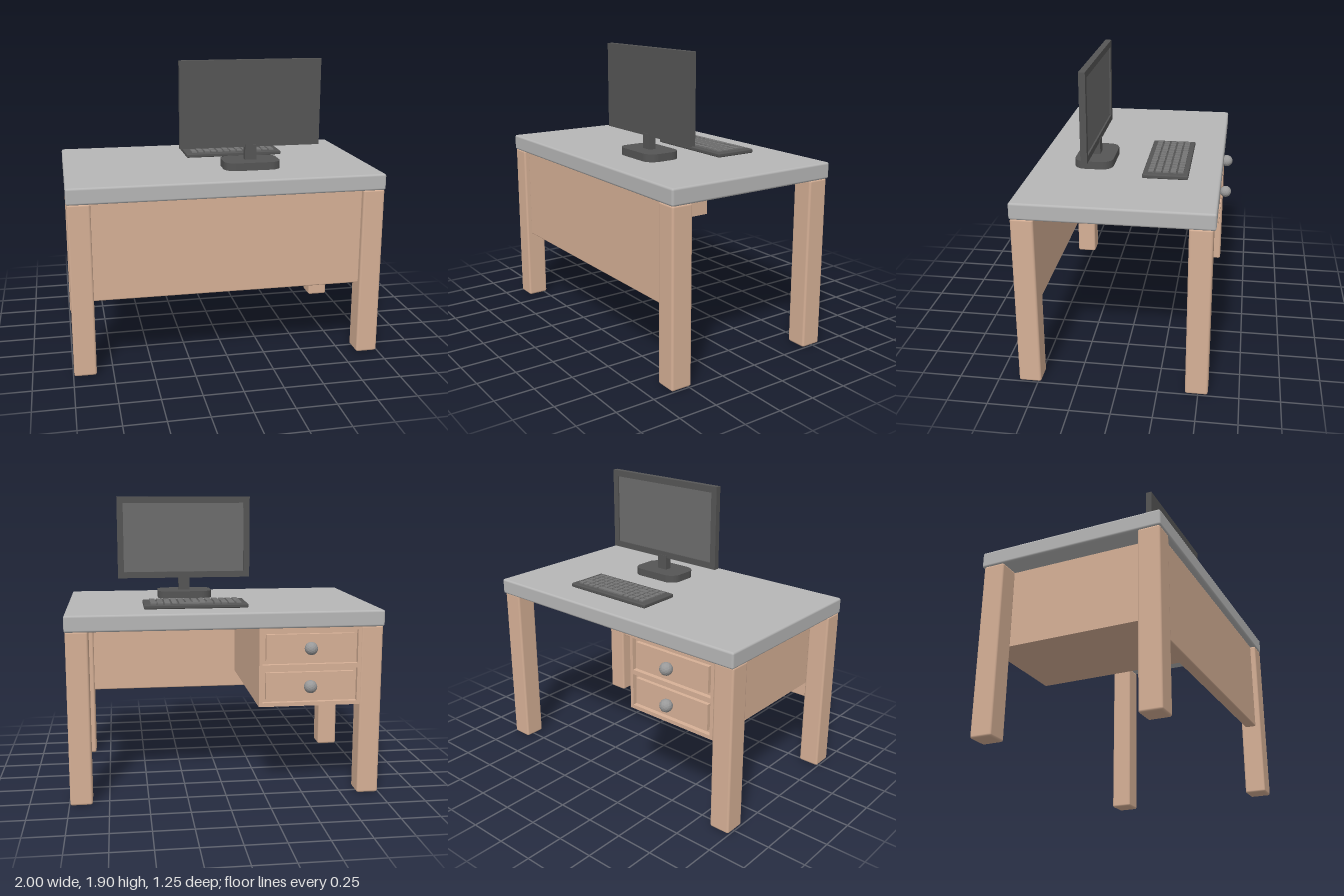
import * as THREE from 'three';
import { RoundedBoxGeometry } from 'three/addons/geometries/RoundedBoxGeometry.js';

const mat = (color, flat = false) => new THREE.MeshStandardMaterial({ color, flatShading: flat });
const wood = mat(0xd6b096), stone = mat(0xb6b6b6), dark = mat(0x555555);
const glass = mat(0x6c6c6c), keyGrey = mat(0x757575), metal = mat(0x999999, true);

function add(parent, name, geometry, material) {
  const mesh = new THREE.Mesh(geometry, material);
  mesh.name = name;
  parent.add(mesh);
  return mesh;
}

// Box given by its minimum and maximum on each axis, with optional rounded edges
function block(parent, name, material, [x0, x1], [y0, y1], [z0, z1], r = 0) {
  const size = [x1 - x0, y1 - y0, z1 - z0];
  const geometry = r ? new RoundedBoxGeometry(...size, 2, r) : new THREE.BoxGeometry(...size);
  const mesh = add(parent, name, geometry, material);
  mesh.position.set((x0 + x1) / 2, (y0 + y1) / 2, (z0 + z1) / 2);
  return mesh;
}

function rectPath(Type, x0, x1, y0, y1) {
  return new Type([[x0, y0], [x1, y0], [x1, y1], [x0, y1]].map(p => new THREE.Vector2(...p)));
}

// Flat frame with rectangular openings, standing from z0 to z1
function frame(parent, name, material, outer, holes, z0, z1) {
  const shape = rectPath(THREE.Shape, ...outer);
  holes.forEach(h => shape.holes.push(rectPath(THREE.Path, ...h)));
  const geometry = new THREE.ExtrudeGeometry(shape, { depth: z1 - z0, bevelEnabled: false });
  add(parent, name, geometry, material).position.z = z0;
}

function buildDesk() {
  const desk = new THREE.Group();
  desk.name = 'desk';
  block(desk, 'tabletop', stone, [-1, 1], [1.105, 1.21], [-0.575, 0.625], 0.014);
  for (const x of [-0.925, 0.925]) {
    for (const z of [-0.49, 0.55]) {
      block(desk, 'leg', wood, [x - 0.07, x + 0.07], [0, 1.11], [z - 0.07, z + 0.07], 0.014);
    }
  }
  block(desk, 'modestyPanel', wood, [-0.86, 0.86], [0.48, 1.11], [0.51, 0.585], 0.008);
  return desk;
}

function buildDrawers() {
  const unit = new THREE.Group();
  unit.name = 'drawerUnit';
  const x0 = -0.857, x1 = -0.2;
  block(unit, 'drawerCase', wood, [x0, x1], [0.6, 1.107], [-0.525, 0.52]);
  const fronts = [[0.625, 0.84], [0.87, 1.085]];
  const holes = fronts.map(([a, b]) => [x0 + 0.022, x1 - 0.022, a, b]);
  frame(unit, 'drawerFaceFrame', wood, [x0, x1, 0.6, 1.107], holes, -0.555, -0.525);
  for (const [a, b] of fronts) {
    block(unit, 'drawerFront', wood, [x0 + 0.045, x1 - 0.045], [a + 0.022, b - 0.022], [-0.55, -0.52]);
    const knob = add(unit, 'drawerKnob', new THREE.IcosahedronGeometry(0.042, 2), metal);
    knob.position.set((x0 + x1) / 2 + 0.005, (a + b) / 2, -0.588);
  }
  return unit;
}

function buildMonitor() {
  const monitor = new THREE.Group();
  monitor.name = 'monitor';
  const x0 = -0.26, x1 = 0.665, y0 = 1.345, y1 = 1.905, rim = 0.042;
  block(monitor, 'monitorBack', dark, [x0, x1], [y0, y1], [0.235, 0.26]);
  frame(monitor, 'monitorBezel', dark, [x0, x1, y0, y1],
    [[x0 + rim, x1 - rim, y0 + rim, y1 - rim]], 0.22, 0.235);
  block(monitor, 'screen', glass, [x0 + rim, x1 - rim], [y0 + rim, y1 - rim], [0.231, 0.24]);
  block(monitor, 'monitorNeck', dark, [0.167, 0.242], [1.25, 1.36], [0.217, 0.264]);

  // Foot: rounded rectangle laid flat
  const w = 0.186, d = 0.124, r = 0.075;
  const foot = new THREE.Shape();
  foot.absarc(w - r, d - r, r, 0, Math.PI / 2);
  foot.absarc(r - w, d - r, r, Math.PI / 2, Math.PI);
  foot.absarc(r - w, r - d, r, Math.PI, Math.PI * 1.5);
  foot.absarc(w - r, r - d, r, Math.PI * 1.5, Math.PI * 2);
  const geometry = new THREE.ExtrudeGeometry(foot, { depth: 0.05, bevelEnabled: false, curveSegments: 6 });
  geometry.rotateX(-Math.PI / 2);
  add(monitor, 'monitorFoot', geometry, dark).position.set(0.204, 1.21, 0.241);
  return monitor;
}

function buildKeyboard() {
  const keyboard = new THREE.Group();
  keyboard.name = 'keyboard';
  block(keyboard, 'keyboardBody', dark, [-0.16, 0.508], [1.21, 1.237], [-0.375, -0.09], 0.008);
  // Rows run away from the sitter; each wide key is [first column, columns covered]
  const wide = [[4, 5], [11, 2], null, [2, 2], null];
  const pitch = 0.0457, rowPitch = 0.0462, gap = 0.006;
  wide.forEach((big, row) => {
    const z = -0.349 + row * rowPitch;
    for (let col = 0; col < 13;) {
      const span = big && big[0] === col ? big[1] : 1;
      const x = -0.124 + col * pitch;
      block(keyboard, 'key', keyGrey, [x + gap, x + span * pitch - gap], [1.23, 1.246],
        [z + gap, z + rowPitch - gap]);
      col += span;
    }
  });
  return keyboard;
}

export function createModel() {
  const model = new THREE.Group();
  model.name = 'deskWithComputer';
  model.add(buildDesk(), buildDrawers(), buildMonitor(), buildKeyboard());
  return model;
}
